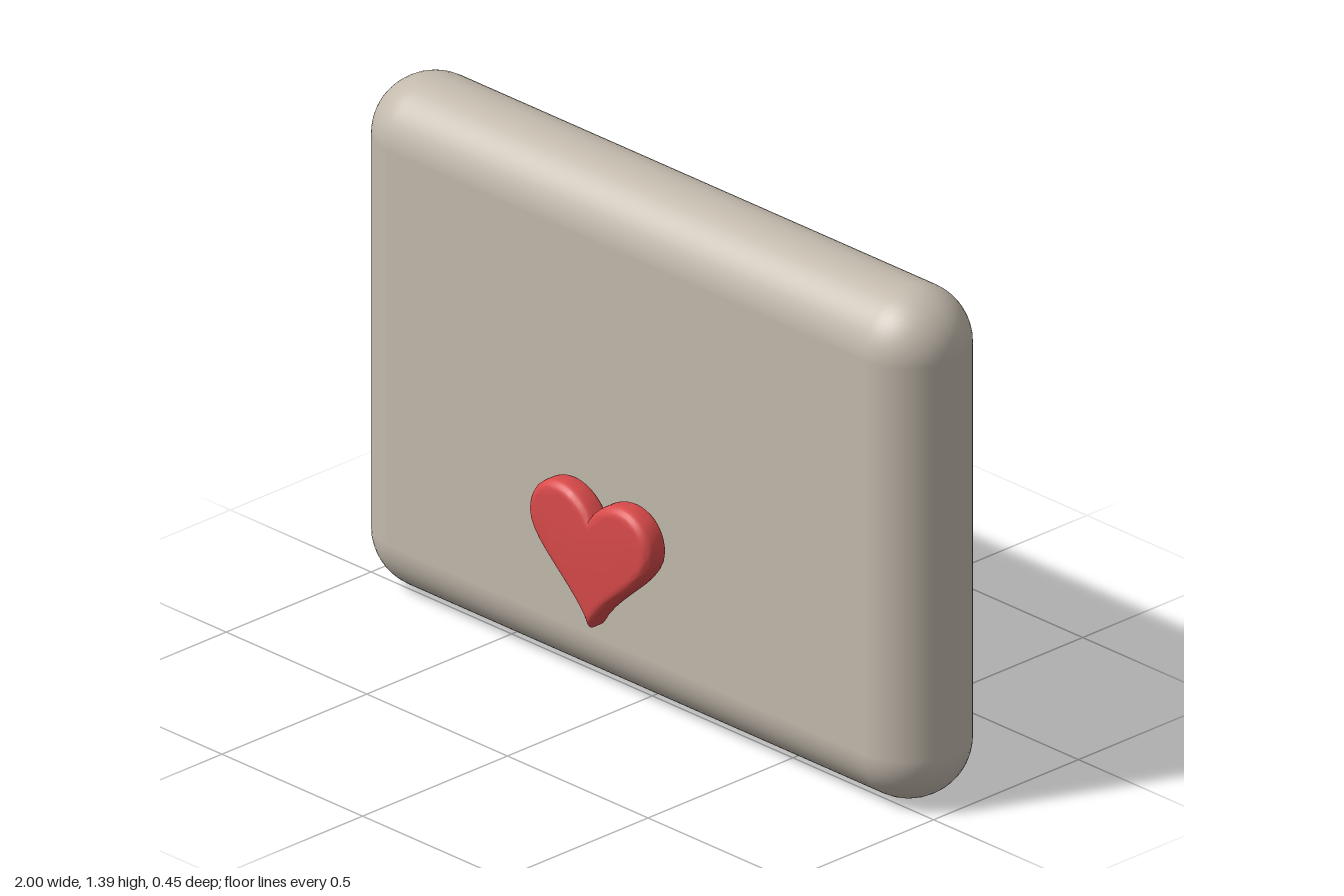
import * as THREE from 'three';
import { RoundedBoxGeometry } from 'three/addons/geometries/RoundedBoxGeometry.js';
import { mergeVertices, toCreasedNormals } from 'three/addons/utils/BufferGeometryUtils.js';

const stone = new THREE.MeshStandardMaterial({ name: 'warm grey', color: 0xc3baad });
const red = new THREE.MeshStandardMaterial({ name: 'heart red', color: 0xd94a4a });

// Heart outline: right half, then its mirror image
function heartShape() {
  const s = new THREE.Shape();
  s.moveTo(0, 0.56);
  s.bezierCurveTo(0.03, 0.6, 0.07, 0.62, 0.11, 0.62);
  s.bezierCurveTo(0.17, 0.62, 0.215, 0.575, 0.215, 0.515);
  s.bezierCurveTo(0.215, 0.43, 0.06, 0.36, 0, 0.255);
  s.bezierCurveTo(-0.06, 0.36, -0.215, 0.43, -0.215, 0.515);
  s.bezierCurveTo(-0.215, 0.575, -0.17, 0.62, -0.11, 0.62);
  s.bezierCurveTo(-0.07, 0.62, -0.03, 0.6, 0, 0.56);
  return s;
}

export function createModel() {
  const group = new THREE.Group();

  // Thick pillow-edged slab
  const slab = new THREE.Mesh(new RoundedBoxGeometry(2, 1.39, 0.316, 6, 0.156), stone);
  slab.name = 'slab';
  slab.position.set(0, 0.695, -0.068);
  group.add(slab);

  // Puffy heart floating in front of the slab
  const bevel = 0.025;
  let geo = new THREE.ExtrudeGeometry(heartShape(), {
    depth: 0.078 - 2 * bevel, curveSegments: 10, steps: 1,
    bevelThickness: bevel, bevelSize: bevel, bevelOffset: -bevel, bevelSegments: 5,
  });
  geo.deleteAttribute('normal');
  geo.deleteAttribute('uv');
  geo.clearGroups();
  geo = toCreasedNormals(mergeVertices(geo), 0.8);
  const heart = new THREE.Mesh(geo, red);
  heart.name = 'heart';
  heart.position.z = 0.15 + bevel;
  group.add(heart);

  return group;
}
